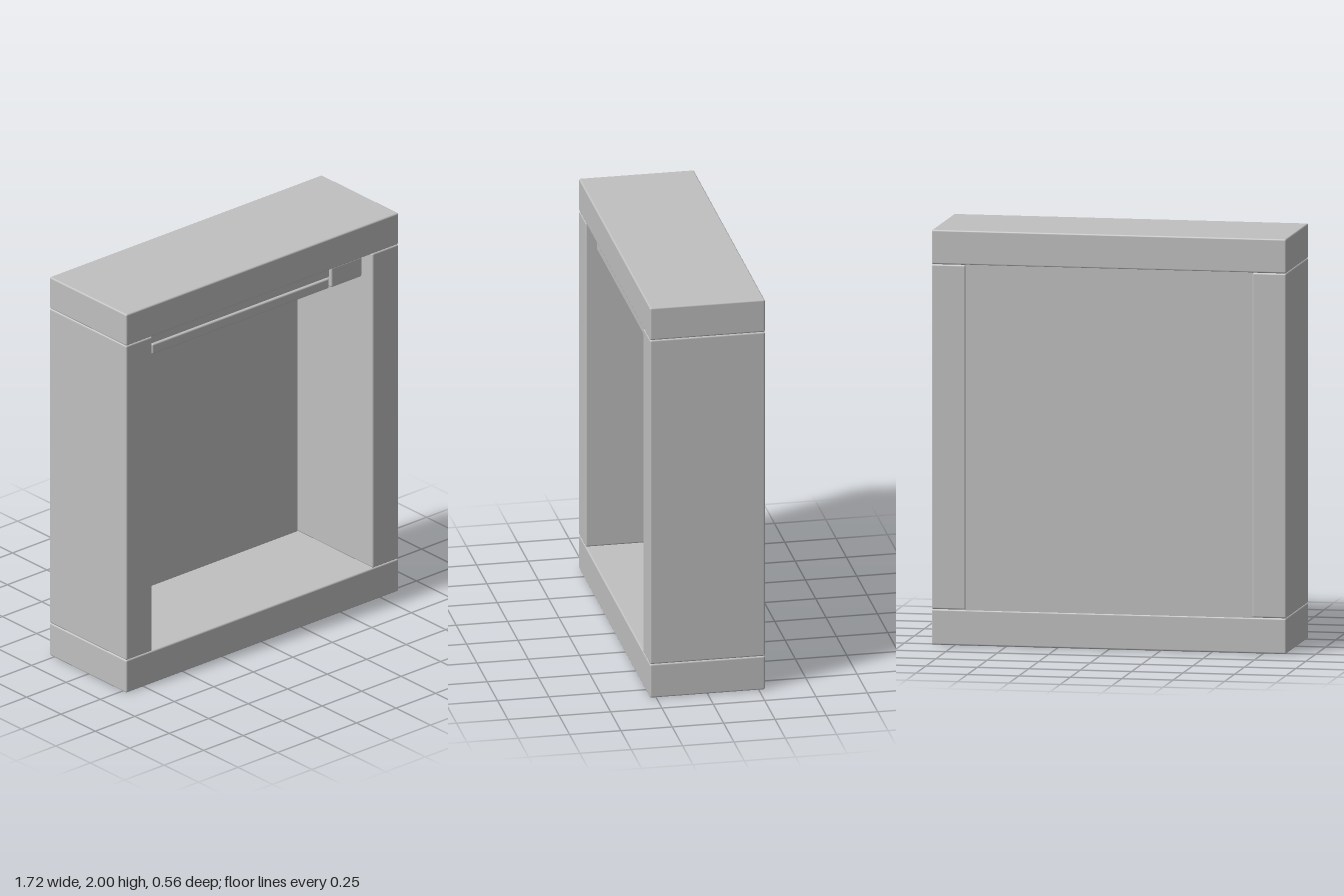
import * as THREE from 'three';
import { RoundedBoxGeometry } from 'three/addons/geometries/RoundedBoxGeometry.js';

export function createModel() {
  const model = new THREE.Group();
  model.name = 'openCabinet';
  const grey = new THREE.MeshStandardMaterial({ color: 0xc0c0c0 });
  grey.name = 'plain grey';

  // Softly edged slab spanning two opposite corners
  function slab(name, [x0, y0, z0], [x1, y1, z1], radius) {
    const geometry = new RoundedBoxGeometry(x1 - x0, y1 - y0, z1 - z0, 2, radius);
    const mesh = new THREE.Mesh(geometry, grey);
    mesh.position.set((x0 + x1) / 2, (y0 + y1) / 2, (z0 + z1) / 2);
    mesh.name = name;
    model.add(mesh);
  }

  const W = 0.862, D = 0.28, inner = 0.697;

  // Frame: base, top and two uprights
  slab('base', [-W, 0, -D], [W, 0.172, D], 0.008);
  slab('top', [-W, 1.834, -D], [W, 2, D], 0.008);
  slab('rightUpright', [-W, 0.172, -D], [-inner, 1.834, D], 0.008);
  slab('leftUpright', [inner, 0.172, -D], [W, 1.834, D], 0.008);

  // Thin back panel, set just inside the frame
  const back = new THREE.Mesh(new THREE.BoxGeometry(2 * inner, 1.666, 0.01), grey);
  back.position.set(0, 1.003, -0.272);
  back.name = 'backPanel';
  model.add(back);

  // Slim rails and end block under the top
  slab('upperRail', [-0.666, 1.765, 0.18], [0.47, 1.815, 0.23], 0.008);
  slab('lowerRail', [-0.658, 1.71, 0.185], [0.462, 1.763, 0.235], 0.008);
  slab('endBlock', [0.473, 1.71, 0.175], [0.666, 1.815, 0.238], 0.008);

  return model;
}
